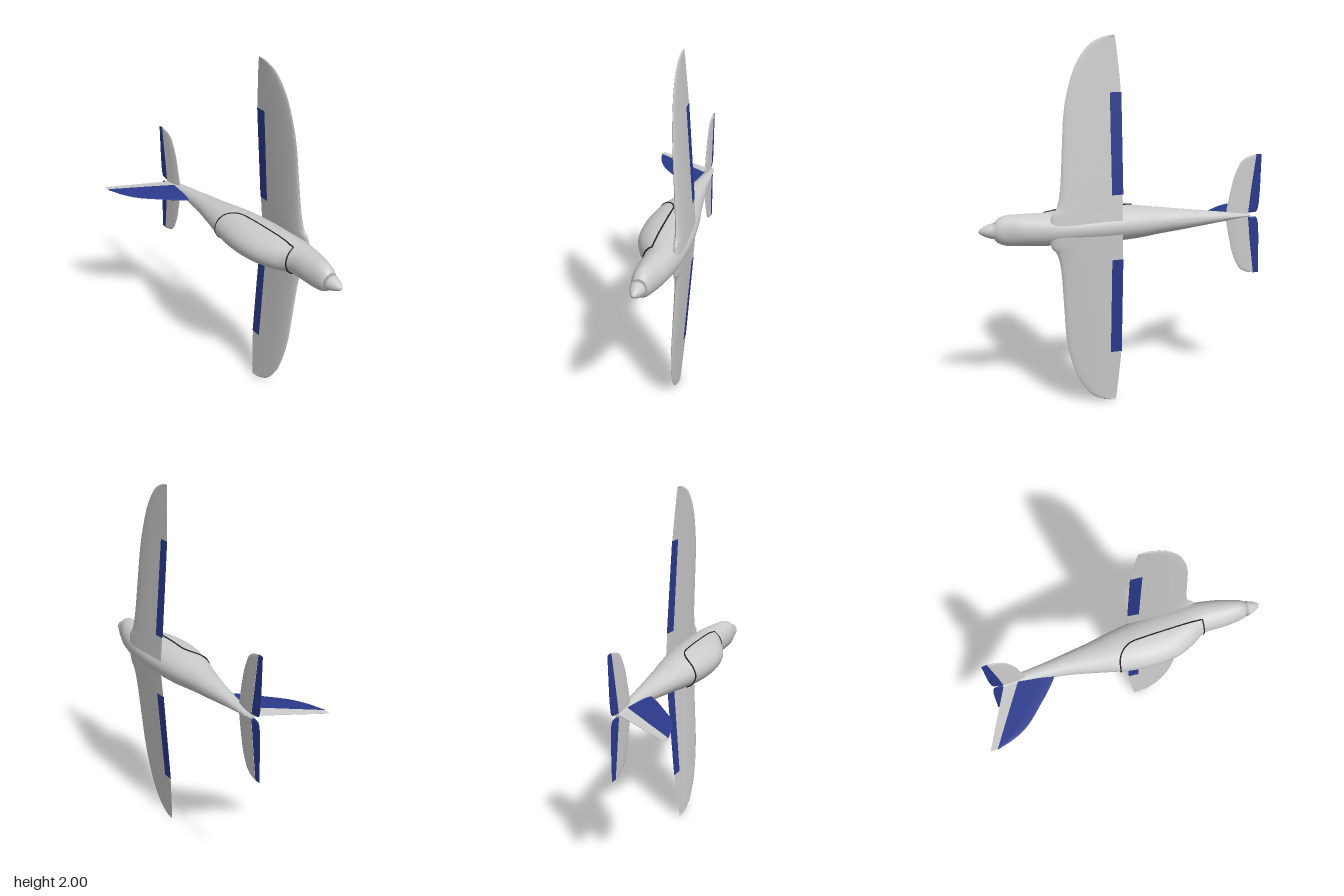
import * as THREE from 'three';
import { toCreasedNormals } from 'three/addons/utils/BufferGeometryUtils.js';

const grey = new THREE.MeshStandardMaterial({ color: 0xcccccc });
const glass = new THREE.MeshStandardMaterial({ color: 0xcccccc, side: THREE.DoubleSide });
const blue = new THREE.MeshStandardMaterial({ color: 0x2b3a8c });
const dark = new THREE.MeshStandardMaterial({ color: 0x222222 });
const V = (x, y, z) => new THREE.Vector3(x, y, z);
const lerp = THREE.MathUtils.lerp;

// Skin a list of rings; closed rings get end caps and outward winding
function loft(rings, closed = true) {
  const n = rings[0].length, pts = rings.flat(), index = [];
  for (let i = 0; i < rings.length - 1; i++) {
    for (let j = 0; j < (closed ? n : n - 1); j++) {
      const a = i * n + j, b = i * n + (j + 1) % n;
      index.push(a, b, b + n, a, b + n, a + n);
    }
  }
  if (closed) {
    [0, rings.length - 1].forEach((r, end) => {
      const c = pts.length, centre = V(0, 0, 0);
      rings[r].forEach(p => centre.addScaledVector(p, 1 / n));
      pts.push(centre);
      for (let j = 0; j < n; j++) {
        const a = r * n + j, b = r * n + (j + 1) % n;
        index.push(...(end ? [c, a, b] : [c, b, a]));
      }
    });
    let volume = 0;
    const cross = V(0, 0, 0);
    for (let i = 0; i < index.length; i += 3) {
      volume += pts[index[i]].dot(cross.crossVectors(pts[index[i + 1]], pts[index[i + 2]]));
    }
    if (volume < 0) index.reverse();
  }
  const g = new THREE.BufferGeometry().setFromPoints(pts);
  g.setIndex(index);
  g.computeVertexNormals();
  return closed ? toCreasedNormals(g, 0.7) : g;
}

// Relative half thickness along the chord, u = 0 at the front
const airfoil = u => 2 * (1.4845 * Math.sqrt(u) - 0.63 * u - 1.758 * u ** 2 + 1.4215 * u ** 3 - 0.5 * u ** 4);
const roundFront = u => Math.sqrt(Math.min(1, u * 2.5));
const flap = u => lerp(1, 0.15, u);

// Flying surface from stations [span, front x, rear x]
function panel(stations, steps, profile, thickness, place) {
  const curve = new THREE.CatmullRomCurve3(stations.map(s => V(...s)), false, 'catmullrom');
  const rings = [], m = 14;
  for (let i = 0; i <= steps; i++) {
    const { x: s, y: front, z: rear } = curve.getPoint(i / steps);
    const side = dir => Array.from({ length: m + 1 }, (_, k) => {
      const u = (1 - Math.cos(Math.PI * k / m)) / 2;
      return place(lerp(front, rear, u), s, dir * thickness(s) * profile(u));
    });
    rings.push([...side(1), ...side(-1).reverse().slice(0, -1)]);
  }
  return loft(rings);
}

// Fuselage stations: x, top z, bottom z, half width
const body = [
  [0.745, -0.087, -0.165, 0.05], [0.72, -0.074, -0.177, 0.07], [0.675, -0.066, -0.19, 0.082],
  [0.6, -0.06, -0.215, 0.085], [0.48, -0.058, -0.238, 0.088], [0.4, -0.013, -0.245, 0.093],
  [0.29, 0.03, -0.248, 0.096], [0.14, 0.041, -0.239, 0.097], [-0.02, 0.022, -0.218, 0.089],
  [-0.155, -0.01, -0.192, 0.072], [-0.29, -0.042, -0.172, 0.056], [-0.42, -0.063, -0.154, 0.04],
  [-0.56, -0.078, -0.14, 0.022], [-0.68, -0.083, -0.127, 0.007],
];
const depthCurve = new THREE.CatmullRomCurve3(body.map(b => V(b[0], b[1], b[2])), false, 'catmullrom');
const widthCurve = new THREE.CatmullRomCurve3(body.map(b => V(b[0], b[3], 0)), false, 'catmullrom');

function section(t) {
  const d = depthCurve.getPoint(t);
  return { x: d.x, c: (d.y + d.z) / 2, r: (d.y - d.z) / 2, w: widthCurve.getPoint(t).y };
}
function sectionAt(x) {
  let lo = 0, hi = 1;
  for (let i = 0; i < 30; i++) {
    const mid = (lo + hi) / 2;
    if (section(mid).x > x) lo = mid; else hi = mid;
  }
  return section(lo);
}
// Point on a section, a = angle from the top
const skin = (s, a, out = 0) =>
  V(s.x, 1 + (s.w + out) * Math.sin(a), s.c + (s.r + out) * Math.cos(a));

export function createModel() {
  const model = new THREE.Group();
  const add = (name, geometry, material) => {
    const mesh = new THREE.Mesh(geometry, material);
    mesh.name = name;
    model.add(mesh);
    return mesh;
  };

  // Fuselage
  const rings = Array.from({ length: 79 }, (_, i) => {
    const s = section(i / 78);
    return Array.from({ length: 40 }, (_, j) => skin(s, j / 40 * Math.PI * 2));
  });
  add('fuselage', loft(rings), grey);

  // Spinner
  const cone = [[0, 0], [0.045, 0], [0.04, 0.022], [0.028, 0.055], [0.013, 0.08], [0, 0.088]];
  const spinner = add('spinner', new THREE.LatheGeometry(
    cone.map(p => new THREE.Vector2(...p)), 32), grey);
  spinner.rotation.z = -Math.PI / 2;
  spinner.position.set(0.742, 1, -0.121);

  // Canopy shell and its rim, following the fuselage skin
  const shell = [], left = [], right = [];
  for (let i = 0; i <= 32; i++) {
    const v = (i / 32) ** 1.6, s = sectionAt(-0.035 + 0.513 * v);
    const k = Math.min(1, v * 0.513 / 0.12);
    const edge = 0.02 - 0.11 * Math.sqrt(1 - (1 - k) ** 2) - 0.015 * v;
    const half = Math.acos(THREE.MathUtils.clamp((edge - s.c) / s.r, -1, 1));
    const row = Array.from({ length: 25 }, (_, j) => skin(s, lerp(-half, half, j / 24), 0.003));
    shell.push(row);
    left.push(row[24]);
    right.push(row[0]);
  }
  add('canopy', loft(shell, false), glass);
  const front = shell[32].slice(1, -1).reverse();
  const loop = [...left, ...front, ...right.reverse().slice(0, -1)];
  const rim = new THREE.CatmullRomCurve3(loop, true);
  add('canopyRim', new THREE.TubeGeometry(rim, 160, 0.004, 6, true), dark);

  // Wings, ailerons, tailplane and elevators on both sides
  const wingThickness = s => lerp(0.02, 0.004, s);
  for (const [side, label] of [[1, 'upper'], [-1, 'lower']]) {
    const onWing = (x, s, h) => V(x, 1 + side * s, -0.223 + 0.07 * s + h);
    const onTail = (x, s, h) => V(x, 1 + side * s, -0.102 + h);
    add(label + 'Wing', panel([
      [0, 0.475, 0.08], [0.085, 0.463, 0.08], [0.127, 0.432, 0.079], [0.23, 0.411, 0.078],
      [0.44, 0.396, 0.077], [0.6, 0.384, 0.077], [0.735, 0.357, 0.079], [0.857, 0.313, 0.089],
      [0.95, 0.245, 0.098], [0.99, 0.175, 0.104], [1, 0.115, 0.106],
    ], 60, airfoil, wingThickness, onWing), grey);
    add(label + 'Aileron', panel([[0.18, 0.138, 0.075], [0.71, 0.138, 0.075]],
      6, flap, s => 0.5 * wingThickness(s), onWing), blue);
    add(label + 'Tailplane', panel([
      [0, -0.545, -0.674], [0.05, -0.552, -0.68], [0.14, -0.57, -0.69], [0.22, -0.59, -0.701],
      [0.3, -0.627, -0.712], [0.33, -0.668, -0.716], [0.34, -0.712, -0.718],
    ], 30, roundFront, s => lerp(0.009, 0.004, s / 0.34), onTail), grey);
    add(label + 'Elevator', panel([[0.018, -0.677, -0.688], [0.042, -0.68, -0.738], [0.34, -0.719, -0.75]]
      .map(([s, a, b]) => [s, a, b]), 12, flap, s => lerp(0.009, 0.004, s / 0.34), onTail), blue);
  }

  // Fin and rudder
  const onFin = (x, s, h) => V(x, 1 + h, s);
  const finThickness = s => lerp(0.014, 0.003, (s + 0.12) / 0.364);
  add('fin', panel([
    [-0.12, -0.36, -0.575], [-0.06, -0.395, -0.612], [0.01, -0.452, -0.656], [0.07, -0.51, -0.693],
    [0.16, -0.602, -0.748], [0.212, -0.69, -0.78], [0.244, -0.79, -0.8],
  ], 30, roundFront, finThickness, onFin), blue);
  add('rudder', panel([[-0.125, -0.573, -0.66], [0.244, -0.801, -0.84]],
    10, flap, s => 0.85 * finThickness(s), onFin), grey);

  return model;
}
